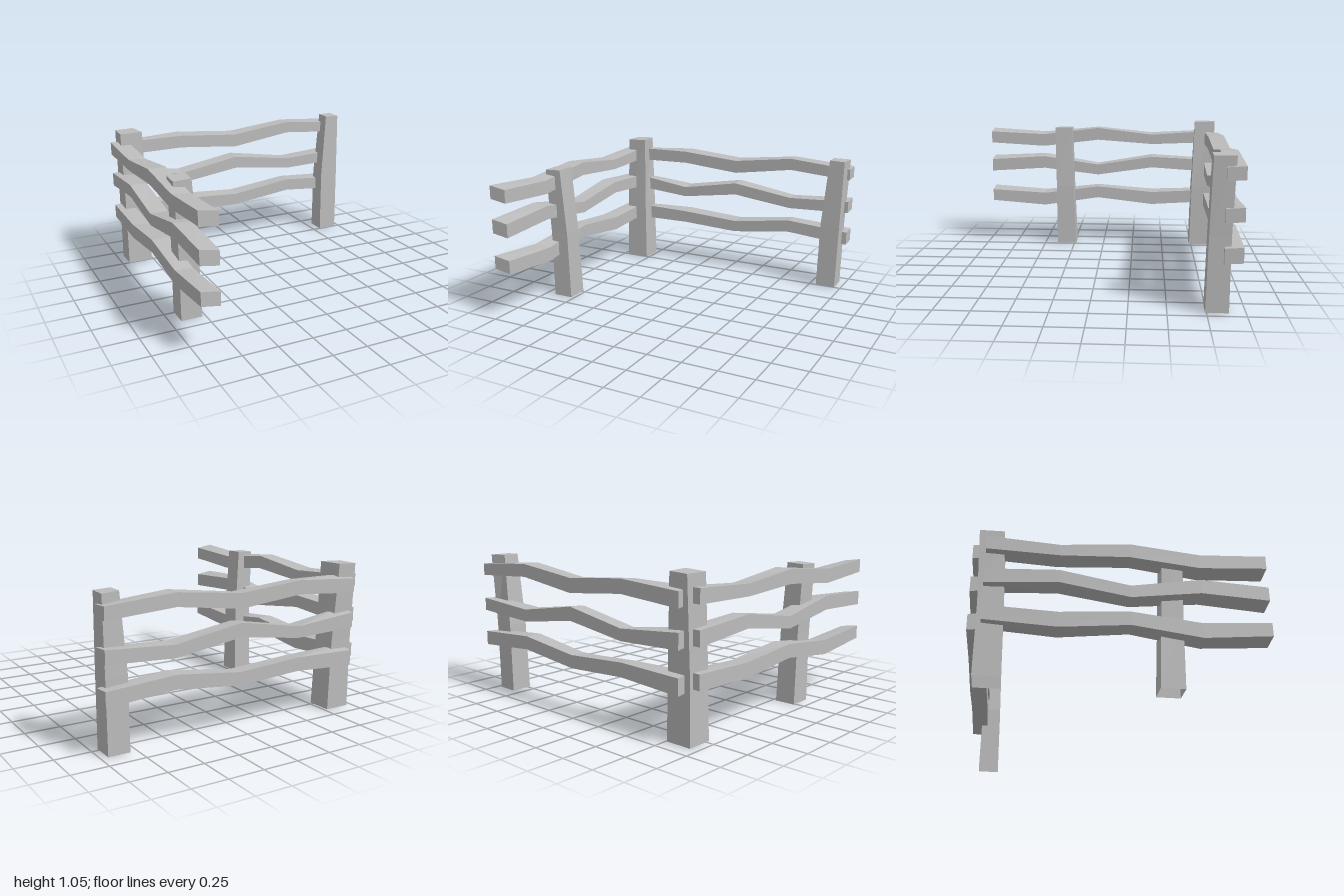
import * as THREE from 'three';

const wood = new THREE.MeshStandardMaterial({ color: 0xbcbcbc, side: THREE.DoubleSide });
wood.name = 'greyWood';

// Faceted mesh with one normal per face
function facetedMesh(geometry, name) {
  const flat = geometry.toNonIndexed();
  flat.clearGroups();
  flat.computeVertexNormals();
  const mesh = new THREE.Mesh(flat, wood);
  mesh.name = name;
  return mesh;
}

// Post, open underneath. Each level lists its corners as [x, y, z]:
// back left-hand (-x), back (+x), front (+x), front (-x)
function makePost(name, levels) {
  const geo = new THREE.BoxGeometry(1, 2, 1, 1, 2, 1);
  const bottom = geo.groups[3];
  const index = Array.from(geo.index.array);
  index.splice(bottom.start, bottom.count);
  geo.setIndex(index);
  const p = geo.attributes.position;
  for (let i = 0; i < p.count; i++) {
    const level = levels[Math.round(p.getY(i)) + 1];
    const right = p.getX(i) > 0;
    const corner = p.getZ(i) < 0 ? (right ? 1 : 0) : (right ? 2 : 3);
    p.setXYZ(i, ...level[corner]);
  }
  return facetedMesh(geo, name);
}

// Rectangular post level
const rect = (y, x0, x1, z0, z1) => [[x0, y, z0], [x1, y, z0], [x1, y, z1], [x0, y, z1]];

// Wavy rail: stations along the length, with top and bottom heights at each
function makeRail(name, alongX, stations, tops, bottoms, near, far, roll) {
  const geo = alongX
    ? new THREE.BoxGeometry(4, 1, 1, 4, 1, 1)
    : new THREE.BoxGeometry(1, 1, 4, 1, 1, 4);
  const p = geo.attributes.position;
  for (let i = 0; i < p.count; i++) {
    const s = Math.round(alongX ? p.getX(i) : p.getZ(i)) + 2;
    const side = Math.sign(alongX ? p.getZ(i) : p.getX(i));
    const across = side < 0 ? near : far;
    const tilt = side * roll[s];
    const y = (p.getY(i) > 0 ? tops[s] : bottoms[s]) - tilt;
    if (alongX) p.setXYZ(i, stations[s], y, across);
    else p.setXYZ(i, across, y, stations[s]);
  }
  return facetedMesh(geo, name);
}

export function createModel() {
  const group = new THREE.Group();
  group.name = 'cornerFence';

  // Posts
  group.add(makePost('cornerPost', [
    rect(0.005, -0.95, -0.765, -0.91, -0.735),
    rect(0.5, -0.945, -0.775, -0.91, -0.745),
    [[-0.94, 1.045, -0.93], [-0.8, 1.05, -0.925], [-0.78, 1.05, -0.76], [-0.945, 1.045, -0.77]],
  ]));
  group.add(makePost('frontPost', [
    rect(0, -0.925, -0.775, 0.235, 0.395),
    rect(0.5, -0.925, -0.785, 0.255, 0.4),
    [[-0.94, 0.99, 0.27], [-0.815, 0.995, 0.27], [-0.82, 0.99, 0.41], [-0.945, 0.985, 0.41]],
  ]));
  group.add(makePost('leftPost', [
    rect(0.005, 0.805, 0.955, -0.89, -0.74),
    rect(0.5, 0.815, 0.965, -0.89, -0.75),
    [[0.86, 1.015, -0.88], [0.985, 1.01, -0.905], [0.975, 1.01, -0.765], [0.86, 1.015, -0.765]],
  ]));

  // Rails across the back
  const backStations = [-0.905, -0.43, 0.04, 0.52, 1];
  const backRails = [
    ['backLowerRail', [0.445, 0.445, 0.415, 0.475, 0.44], [0.335, 0.35, 0.325, 0.38, 0.34]],
    ['backMiddleRail', [0.715, 0.66, 0.74, 0.665, 0.69], [0.61, 0.58, 0.645, 0.58, 0.6]],
    ['backUpperRail', [0.955, 0.97, 0.93, 0.985, 0.945], [0.855, 0.875, 0.83, 0.895, 0.86]],
  ];
  for (const [name, tops, bottoms] of backRails) {
    group.add(makeRail(name, true, backStations, tops, bottoms, -0.965, -0.845,
      [-0.008, 0.005, 0.004, 0, 0.004]));
  }

  // Rails along the right side
  const sideStations = [-0.88, -0.41, 0.05, 0.51, 0.965];
  const sideRails = [
    ['sideLowerRail', [0.46, 0.44, 0.48, 0.425, 0.455], [0.36, 0.335, 0.385, 0.32, 0.36]],
    ['sideMiddleRail', [0.72, 0.745, 0.67, 0.745, 0.72], [0.62, 0.655, 0.585, 0.645, 0.62]],
    ['sideUpperRail', [0.965, 0.935, 0.985, 0.935, 0.96], [0.87, 0.855, 0.885, 0.835, 0.865]],
  ];
  for (const [name, tops, bottoms] of sideRails) {
    group.add(makeRail(name, false, sideStations, tops, bottoms, -0.995, -0.867,
      [0, 0.004, 0, 0.006, 0.01]));
  }
  return group;
}
